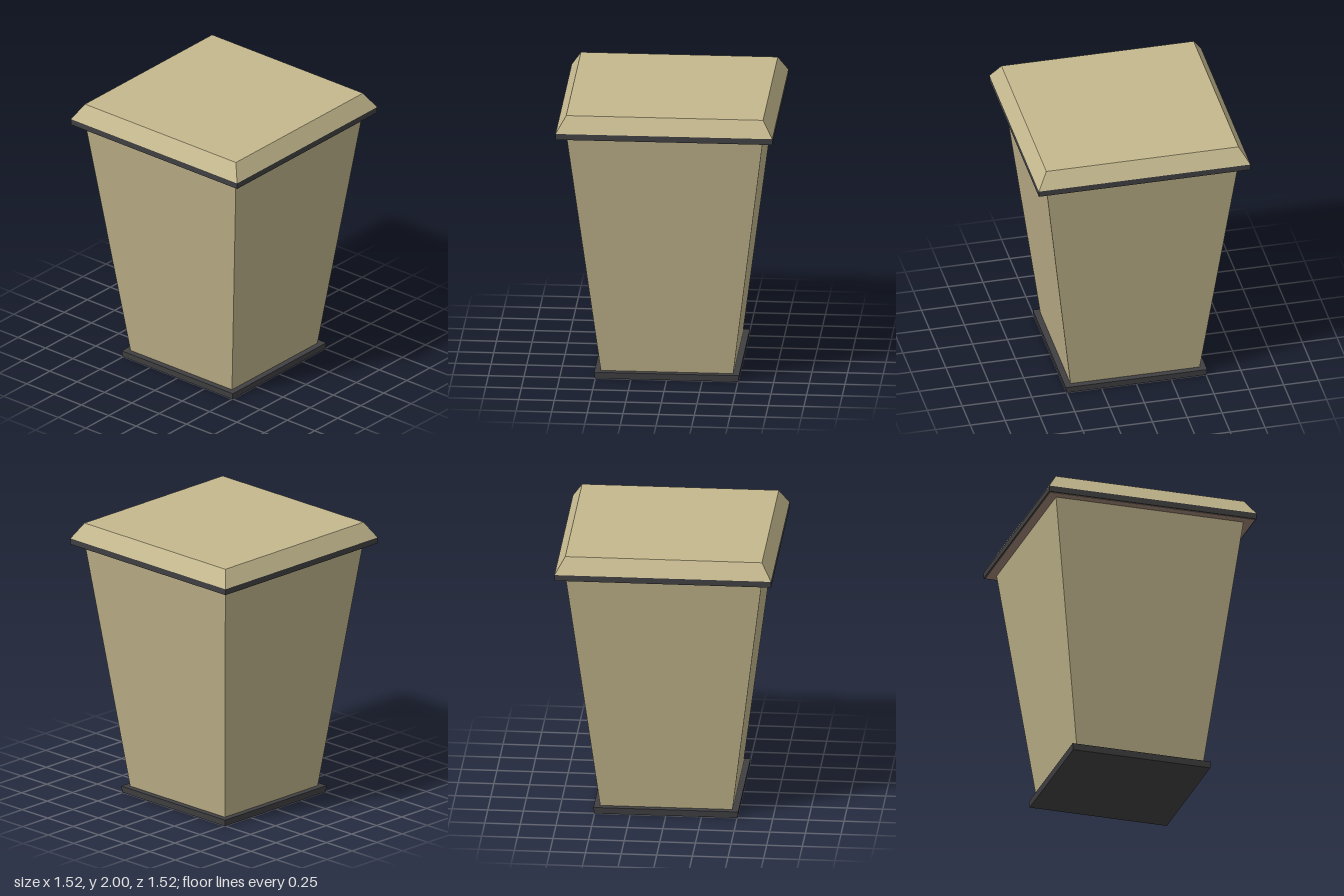
import * as THREE from 'three';

const paint = (color) => new THREE.MeshStandardMaterial({ color, flatShading: true });

// Square frustum between two heights, given half-widths at bottom and top
function frustum(name, material, y0, y1, halfBottom, halfTop) {
  const geometry = new THREE.CylinderGeometry(
    halfTop * Math.SQRT2, halfBottom * Math.SQRT2, y1 - y0, 4, 1);
  geometry.rotateY(Math.PI / 4);
  geometry.translate(0, (y0 + y1) / 2, 0);
  const mesh = new THREE.Mesh(geometry, material);
  mesh.name = name;
  return mesh;
}

export function createModel() {
  const tan = paint(0xbdb189);
  const lidTan = paint(0xc4b88e);
  const dark = paint(0x404042);
  const brown = paint(0x9a8272);

  const model = new THREE.Group();
  model.name = 'taperedBin';

  // Foot plate and flaring body
  model.add(frustum('base', dark, 0, 0.047, 0.503, 0.508));
  model.add(frustum('body', tan, 0.04, 1.86, 0.463, 0.69));

  // Lid: underside panel, dark rim and bevelled cap
  const lid = new THREE.Group();
  lid.name = 'lid';
  lid.add(frustum('lidUnderside', brown, 1.84, 1.86, 0.75, 0.75));
  lid.add(frustum('lidRim', dark, 1.843, 1.886, 0.76, 0.76));
  lid.add(frustum('lidCap', lidTan, 1.886, 2, 0.76, 0.69));
  model.add(lid);

  return model;
}
